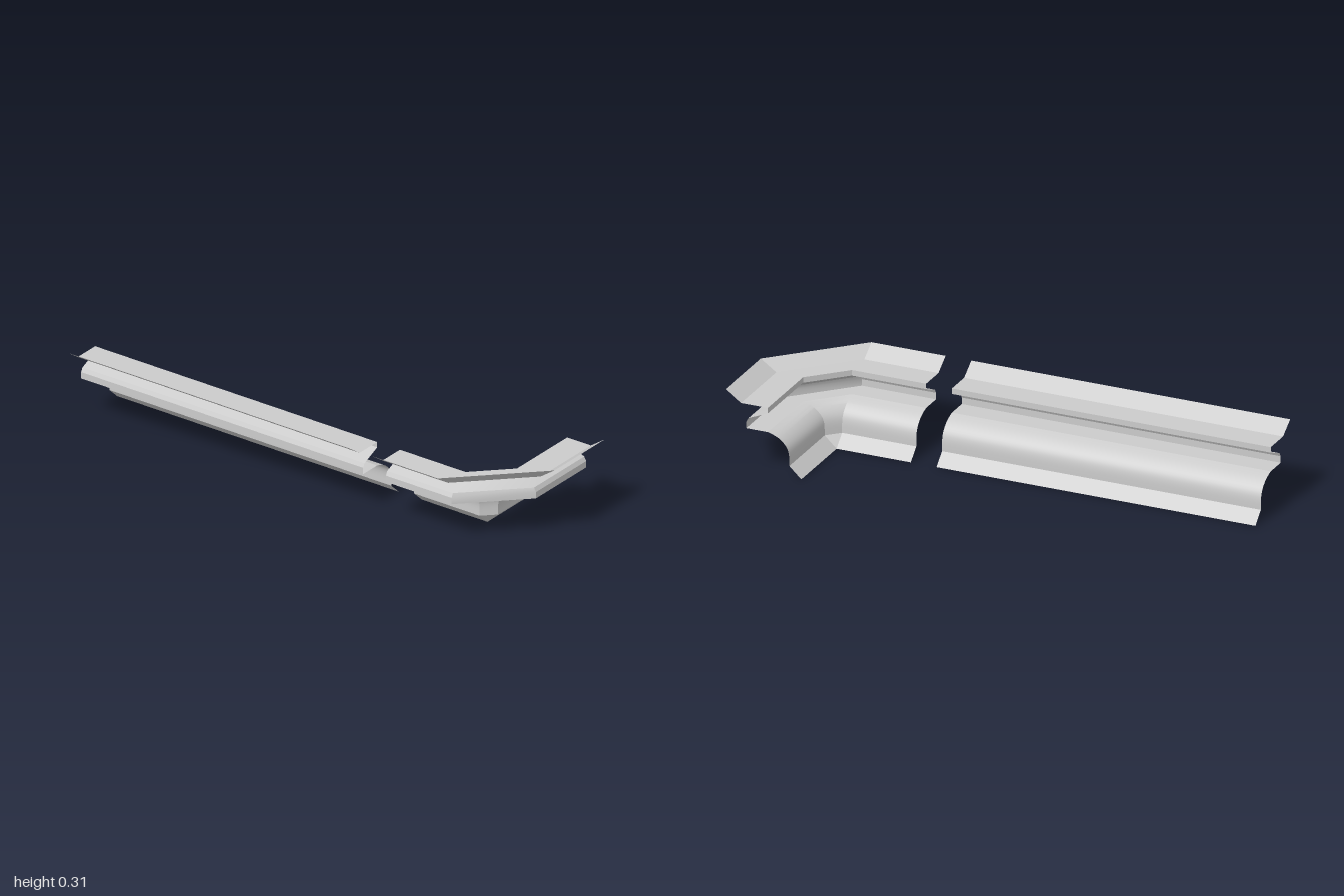
import * as THREE from 'three';
import { toCreasedNormals } from 'three/addons/utils/BufferGeometryUtils.js';

const material = new THREE.MeshStandardMaterial({ color: 0xcccccc, side: THREE.DoubleSide });

// Concave sweep of the cove, as [distance from wall, height]
const cove = new THREE.SplineCurve(
  [[0.048, 0.045], [0.049, 0.085], [0.056, 0.112], [0.074, 0.135], [0.1, 0.153], [0.135, 0.165]]
    .map(([d, y]) => new THREE.Vector2(d, y))
).getSpacedPoints(14).map((p) => [p.x, p.y]);

// Profile bands from bottom to top
const bands = {
  footBevel: [[0, 0], [0.048, 0.045]],
  cove,
  nose: [[0.135, 0.165], [0.222, 0.165], [0.222, 0.191], [0.213, 0.207], [0.135, 0.24]],
  neck: [[0.135, 0.24], [0.135, 0.262]],
  crown: [[0.135, 0.262], [0.243, 0.262], [0.306, 0.306]],
};

// Sweeps a band along stations [x, z, outward x, outward z]
function sweepBand(name, band, stations) {
  const at = ([x, z, nx, nz], [d, y]) => [x + nx * d, y, z + nz * d];
  const positions = [];
  for (let i = 0; i < stations.length - 1; i++) {
    for (let j = 0; j < band.length - 1; j++) {
      const a = at(stations[i], band[j]);
      const b = at(stations[i + 1], band[j]);
      const c = at(stations[i + 1], band[j + 1]);
      const d = at(stations[i], band[j + 1]);
      // At the wall the corner narrows to a point, so one triangle is enough
      if (Math.hypot(a[0] - b[0], a[2] - b[2]) > 1e-6) positions.push(...a, ...b, ...c);
      positions.push(...a, ...c, ...d);
    }
  }
  const geometry = new THREE.BufferGeometry();
  geometry.setAttribute('position', new THREE.Float32BufferAttribute(positions, 3));
  const mesh = new THREE.Mesh(toCreasedNormals(geometry, 0.45), material);
  mesh.name = name;
  return mesh;
}

function moulding(name, stations) {
  const group = new THREE.Group();
  group.name = name;
  for (const [band, points] of Object.entries(bands)) group.add(sweepBand(band, points, stations));
  return group;
}

export function createModel() {
  const model = new THREE.Group();
  model.name = 'corniceMoulding';
  const wallZ = 0.002, cornerX = 0.694;

  // Straight length
  model.add(moulding('straightMoulding', [[-1, wallZ, 0, 1], [0.29, wallZ, 0, 1]]));

  // Outside corner with a diagonal facet between its two arms
  model.add(moulding('cornerMoulding', [
    [0.394, wallZ, 0, 1],
    [cornerX, wallZ, 0, 1],
    [cornerX, wallZ, 1, 0],
    [cornerX, -0.308, 1, 0],
  ]));

  return model;
}
